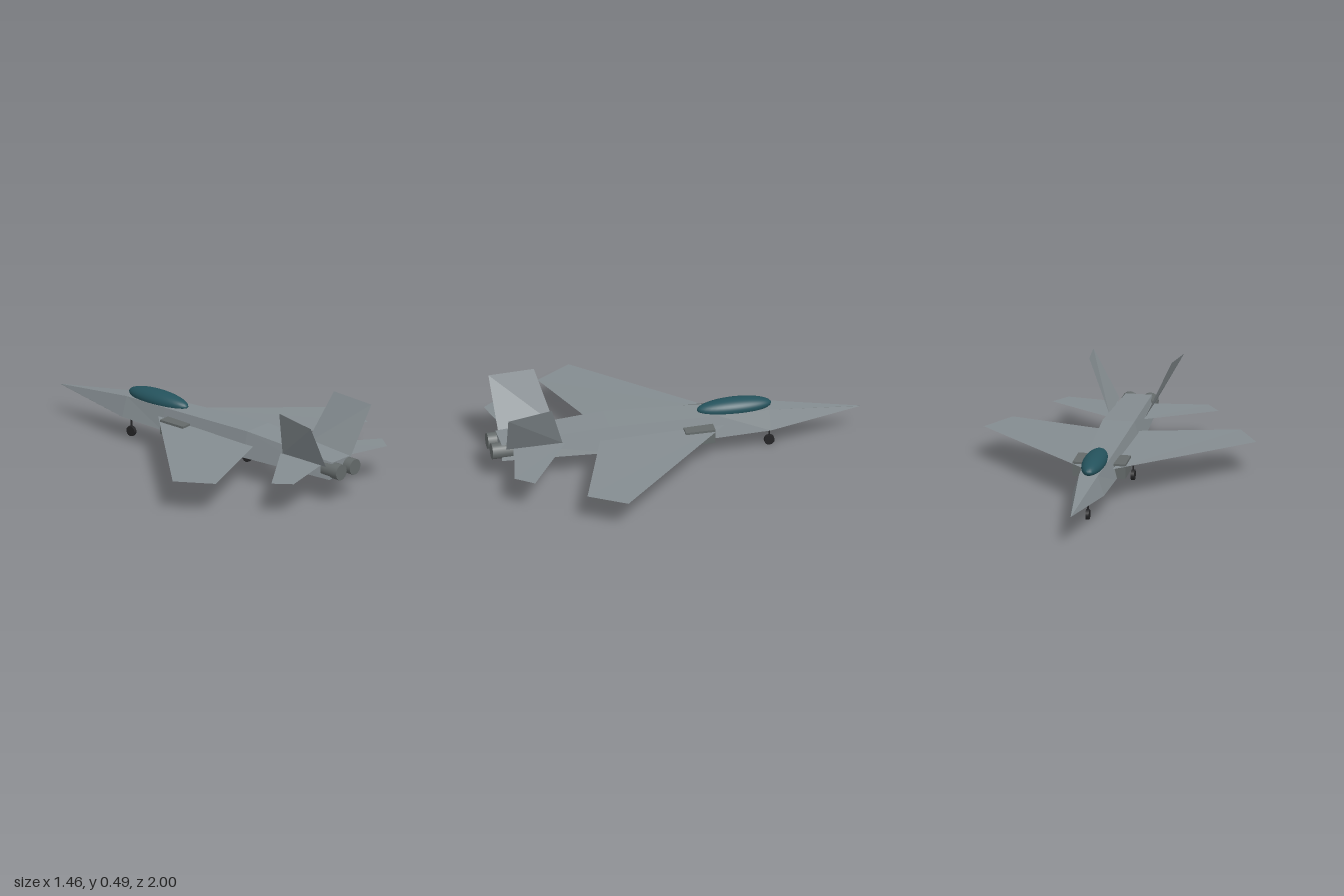
import * as THREE from 'three';

const mat = (name, color, side = THREE.FrontSide) =>
  Object.assign(new THREE.MeshStandardMaterial({ color, side }), { name });

// Unindexed geometry with one normal per face
function faceted(points, index) {
  const g = new THREE.BufferGeometry();
  g.setAttribute('position', new THREE.Float32BufferAttribute(points.flat(), 3));
  g.setIndex(index);
  const flat = g.toNonIndexed();
  flat.computeVertexNormals();
  return flat;
}

// Trapezoid cross-sections: [z, top half width, bottom half width, top y, bottom y]
function fuselageGeometry() {
  const sections = [
    [-1, 0.001, 0.001, 0.171, 0.169],
    [-0.5, 0.05, 0.085, 0.24, 0.133],
    [-0.22, 0.065, 0.095, 0.248, 0.131],
    [0.37, 0.085, 0.12, 0.267, 0.13],
    [0.95, 0.07, 0.095, 0.23, 0.14],
  ];
  const points = [], index = [];
  for (const [z, t, b, yt, yb] of sections) points.push([t, yt, z], [-t, yt, z], [-b, yb, z], [b, yb, z]);
  for (let i = 0; i < sections.length - 1; i++) {
    for (let j = 0; j < 4; j++) {
      const a = i * 4 + j, b = i * 4 + (j + 1) % 4;
      index.push(a, b, b + 4, a, b + 4, a + 4);
    }
  }
  const e = points.length - 4;
  index.push(2, 1, 0, 3, 2, 0, e, e + 1, e + 2, e, e + 2, e + 3);
  return faceted(points, index);
}

export function createModel() {
  const group = new THREE.Group();
  const grey = mat('hullGrey', 0x848c90);
  const sheetGrey = mat('wingGrey', 0x848c90, THREE.DoubleSide);
  const darkGrey = mat('engineGrey', 0x646a6a);
  const glass = mat('canopyTeal', 0x24525c);
  const black = mat('gearBlack', 0x242426);

  const add = (name, geometry, material, x = 0, y = 0, z = 0, parent = group) => {
    const m = new THREE.Mesh(geometry, material);
    m.name = name;
    m.position.set(x, y, z);
    parent.add(m);
    return m;
  };

  add('fuselage', fuselageGeometry(), grey);

  // Canopy bubble
  add('canopy', new THREE.SphereGeometry(1, 32, 20), glass, 0, 0.257, -0.32).scale.set(0.061, 0.048, 0.2);

  // Thin four-cornered surfaces, mirrored on both sides
  const sheets = {
    wing: [[0.085, 0.2, -0.25], [0.73, 0.18, 0.41], [0.61, 0.18, 0.605], [0.09, 0.2, 0.42]],
    tailplane: [[0.08, 0.205, 0.6], [0.445, 0.195, 0.85], [0.375, 0.195, 0.945], [0.07, 0.205, 0.88]],
    tailFin: [[0.095, 0.21, 0.625], [0.22, 0.49, 0.71], [0.243, 0.468, 0.95], [0.1, 0.21, 0.93]],
  };
  for (const [side, s] of [['left', 1], ['right', -1]]) {
    for (const [name, corners] of Object.entries(sheets)) {
      const points = corners.map(([x, y, z]) => [s * x, y, z]);
      const index = s > 0 ? [2, 1, 0, 3, 2, 0] : [0, 1, 2, 0, 2, 3];
      add(`${side} ${name}`, faceted(points, index), sheetGrey);
    }
    // Air intake and engine nozzle
    add(`${side} intake`, new THREE.BoxGeometry(0.07, 0.08, 0.16), darkGrey, s * 0.106, 0.17, -0.11);
    const nozzle = new THREE.CylinderGeometry(0.043, 0.043, 0.11, 16).rotateX(Math.PI / 2);
    add(`${side} nozzle`, nozzle, darkGrey, s * 0.055, 0.183, 0.945);
  }

  // Landing gear: nose leg and two main legs
  const legs = [['noseGear', 0, -0.51], ['leftMainGear', 0.11, 0.2], ['rightMainGear', -0.11, 0.2]];
  for (const [name, x, z] of legs) {
    const gear = new THREE.Group();
    gear.name = name;
    gear.position.set(x, 0, z);
    group.add(gear);
    add('strut', new THREE.CylinderGeometry(0.005, 0.005, 0.12, 8), black, 0, 0.09, 0, gear);
    const wheel = new THREE.CylinderGeometry(0.028, 0.028, 0.018, 12).rotateZ(Math.PI / 2);
    add('wheel', wheel, black, 0, 0.028, 0, gear);
  }
  return group;
}
